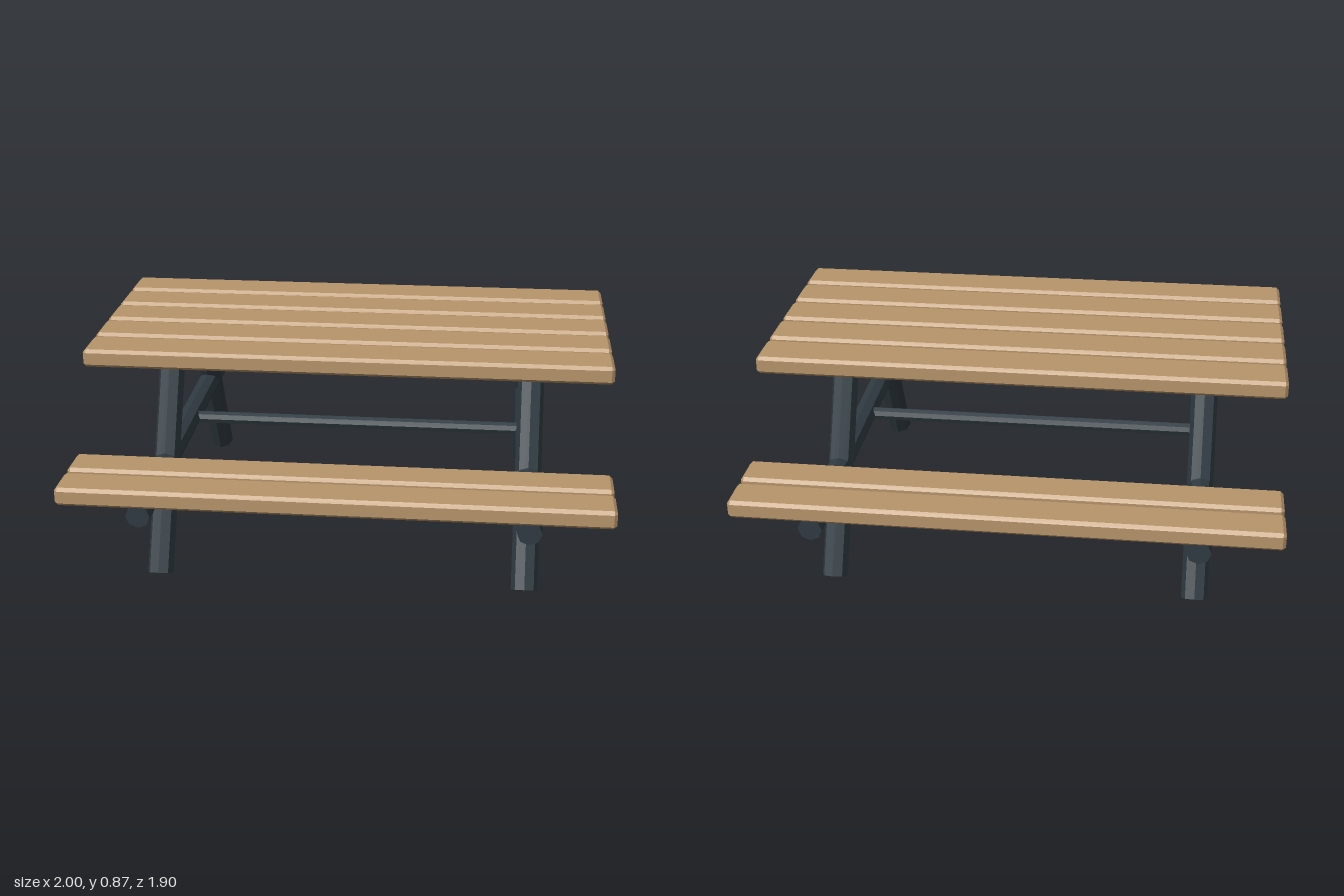
import * as THREE from 'three';
import { ConvexGeometry } from 'three/addons/geometries/ConvexGeometry.js';

// Box with every edge chamfered, from its 24 corner points
function chamferedBox(w, h, d, c) {
  const points = [];
  for (const sx of [-1, 1]) for (const sy of [-1, 1]) for (const sz of [-1, 1]) {
    const x = w / 2, y = h / 2, z = d / 2;
    points.push(
      new THREE.Vector3(sx * x, sy * (y - c), sz * (z - c)),
      new THREE.Vector3(sx * (x - c), sy * y, sz * (z - c)),
      new THREE.Vector3(sx * (x - c), sy * (y - c), sz * z)
    );
  }
  return new ConvexGeometry(points);
}

export function createModel() {
  const model = new THREE.Group();
  model.name = 'picnicTable';

  const wood = new THREE.MeshStandardMaterial({ color: 0xb8956b });
  wood.name = 'wood';
  const metal = new THREE.MeshStandardMaterial({ color: 0x2f3b42, flatShading: true });
  metal.name = 'darkMetal';

  const addPlank = (name, geometry, y, z) => {
    const mesh = new THREE.Mesh(geometry, wood);
    mesh.name = name;
    mesh.position.set(0, y, z);
    model.add(mesh);
  };

  // Eight-sided pole between two points
  const up = new THREE.Vector3(0, 1, 0);
  const addPole = (name, from, to, radius) => {
    const a = new THREE.Vector3(...from), b = new THREE.Vector3(...to);
    const mesh = new THREE.Mesh(new THREE.CylinderGeometry(radius, radius, a.distanceTo(b), 8), metal);
    mesh.name = name;
    mesh.position.copy(a).add(b).multiplyScalar(0.5);
    mesh.quaternion.setFromUnitVectors(up, b.sub(a).normalize());
    model.add(mesh);
  };

  // Table top
  const topPlank = chamferedBox(2, 0.07, 0.168, 0.012);
  for (let i = -2; i <= 2; i++) addPlank('tablePlank', topPlank, 0.831, i * 0.195);

  // Benches on both sides
  const benchPlank = chamferedBox(2, 0.07, 0.146, 0.012);
  for (const side of [-1, 1]) {
    for (const z of [0.705, 0.877]) addPlank('benchPlank', benchPlank, 0.477, side * z);
  }

  // Frames: slanted legs and a cross beam at each end
  for (const x of [-0.7, 0.7]) {
    for (const side of [-1, 1]) {
      addPole('leg', [x, 0.023, side * 0.65], [x, 0.814, side * 0.24], 0.05);
    }
    addPole('benchBeam', [x, 0.41, -0.94], [x, 0.41, 0.94], 0.045);
  }

  // Bar joining the two frames
  addPole('stretcher', [-0.7, 0.41, 0], [0.7, 0.41, 0], 0.026);

  return model;
}
